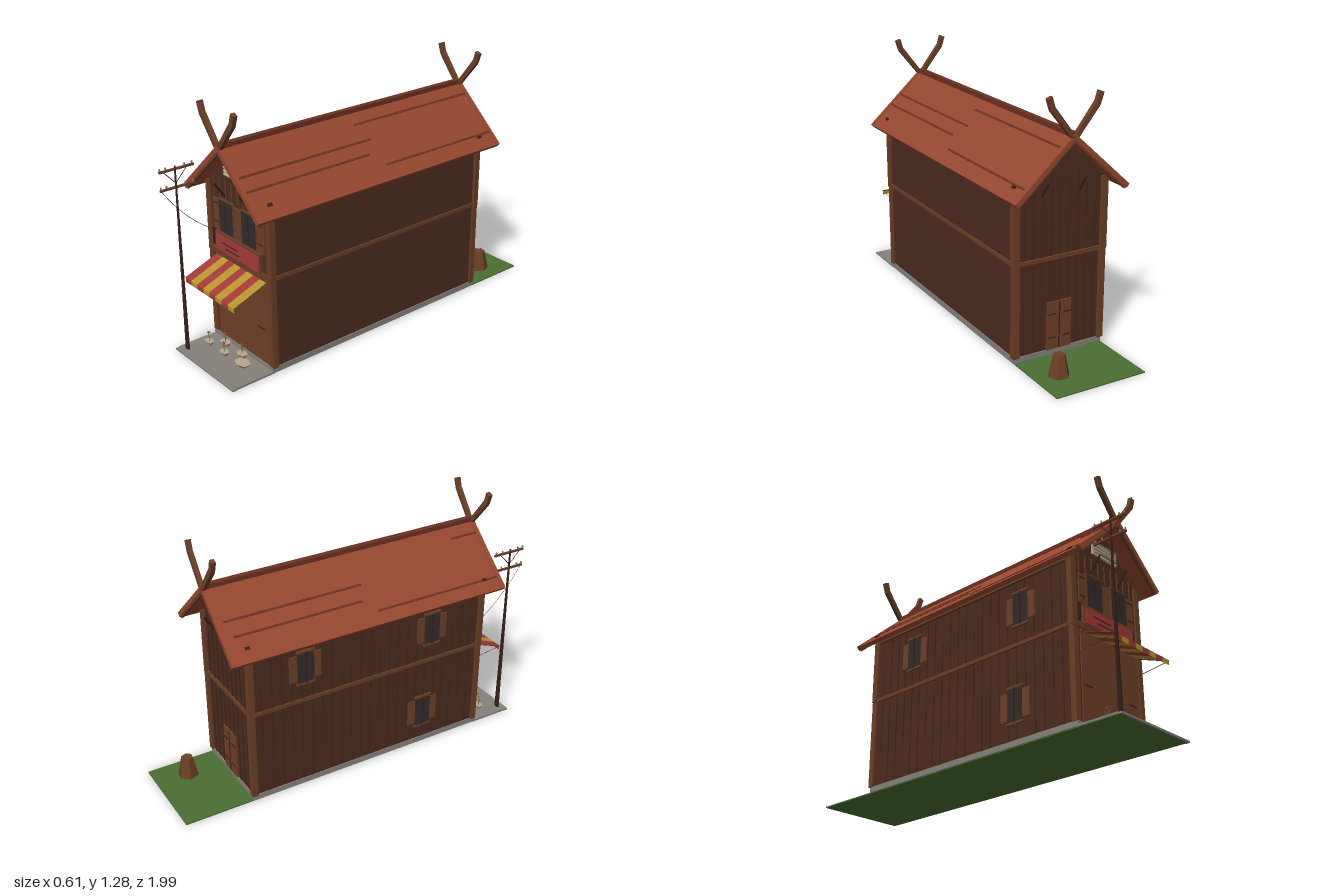
import * as THREE from 'three';

const C = {
  wall: 0x4c2b1f, plank: 0x432519, beam: 0x6b3f26, panel: 0x6e4028, dark: 0x38201a, glass: 0x302c2b,
  roof: 0x96472f, seam: 0x6b3021, red: 0xa33a38, yellow: 0xb8922f, cream: 0xb5a58a,
  stone: 0x85807a, grass: 0x4a6e31, leaf: 0x557a35,
};
const mats = {};
const mat = (color) => (mats[color] ??= new THREE.MeshStandardMaterial({ color, flatShading: true, side: THREE.DoubleSide }));

export function createModel() {
  const root = new THREE.Group();
  const add = (name, geo, color, parent = root) => {
    const m = new THREE.Mesh(geo, mat(color));
    m.name = name;
    parent.add(m);
    return m;
  };
  // Box given by its limits
  const box = (name, x0, x1, y0, y1, z0, z1, color, parent) => {
    const m = add(name, new THREE.BoxGeometry(x1 - x0, y1 - y0, z1 - z0), color, parent);
    m.position.set((x0 + x1) / 2, (y0 + y1) / 2, (z0 + z1) / 2);
    return m;
  };
  // Outline in x,y extruded from z0 to z1
  const prism = (name, pts, z0, z1, color) => {
    const shape = new THREE.Shape(pts.map((p) => new THREE.Vector2(...p)));
    const geo = new THREE.ExtrudeGeometry(shape, { depth: z1 - z0, bevelEnabled: false });
    return add(name, geo.translate(0, 0, z0), color);
  };
  // Square or round bar between two points
  const bar = (name, a, b, r, color, sides = 4) => {
    const p = new THREE.Vector3(...a), q = new THREE.Vector3(...b), d = q.clone().sub(p);
    const m = add(name, new THREE.CylinderGeometry(r, r, d.length(), sides), color);
    m.position.copy(p).add(q).multiplyScalar(0.5);
    m.quaternion.setFromUnitVectors(new THREE.Vector3(0, 1, 0), d.normalize());
    return m;
  };

  // Ground
  box('grass', -0.24, 0.24, 0, 0.006, -1, 0.93, C.grass);
  box('pavement', -0.245, 0.245, 0.002, 0.012, 0.7, 0.92, C.stone);
  box('kerb', -0.245, 0.245, 0, 0.009, 0.92, 0.94, C.stone);
  box('foundation', -0.245, 0.245, 0.004, 0.032, -0.64, 0.71, C.stone);

  // House body with gables
  prism('houseBody', [[-0.24, 0.03], [0.24, 0.03], [0.24, 0.85], [0, 1.07], [-0.24, 0.85]], -0.635, 0.7, C.wall);

  // Corner posts, storey beams and wall plates
  for (const s of [-1, 1]) {
    for (const z of [-0.633, 0.694]) {
      box('lowerPost', s * 0.235 - 0.016, s * 0.235 + 0.016, 0.03, 0.49, z - 0.015, z + 0.015, C.beam);
      box('upperPost', s * 0.238 - 0.017, s * 0.238 + 0.017, 0.49, 0.85, z - 0.015, z + 0.015, C.beam);
    }
    box('sideBeam', s * 0.24 - 0.008, s * 0.24 + 0.008, 0.488, 0.506, -0.645, 0.705, C.beam);
    box('wallPlate', s * 0.245 - 0.01, s * 0.245 + 0.01, 0.822, 0.842, -0.645, 0.705, C.beam);
  }
  box('frontBeam', -0.25, 0.25, 0.485, 0.51, 0.7, 0.712, C.beam);
  box('backBeam', -0.25, 0.25, 0.487, 0.507, -0.645, -0.63, C.beam);

  // Plank battens on the left-hand long wall and both ends
  for (let i = 0; i < 23; i++) {
    const z = -0.58 + i * 0.055;
    const low = i % 3 ? 0.035 : 0.2, high = i % 4 ? 0.82 : 0.66;
    box('sideBatten', -0.243, -0.239, low, high, z, z + 0.006, C.plank);
  }
  for (let i = -4; i <= 4; i++) {
    const x = i * 0.048, top = 1.03 - Math.abs(x) * 0.93;
    box('backBatten', x - 0.003, x + 0.003, 0.035, top - (i % 2 ? 0.06 : 0.01), -0.639, -0.634, C.plank);
    box('frontBatten', x - 0.003, x + 0.003, 0.78, 0.88, 0.699, 0.704, C.beam);
  }

  // Roof slabs with raised seams and pegs
  const pitch = Math.atan2(0.275, 0.3);
  const roofY = (x) => 1.1 - Math.abs(x) * 0.917;
  const seams = [[0.06, -0.72, 0.05], [0.13, 0, 0.78], [0.185, 0.06, 0.78], [0.24, -0.72, 0],
    [-0.06, 0.62, 0.78], [-0.14, -0.7, 0.03], [-0.2, -0.68, 0], [-0.25, 0.06, 0.78]];
  for (const s of [-1, 1]) {
    prism('roofSlab', [[0, 1.1], [s * 0.3, 0.825], [s * 0.286, 0.808], [0, 1.072]], -0.73, 0.79, C.roof);
    for (const z of [-0.64, 0.7]) {
      const peg = box('roofPeg', s * 0.25 - 0.007, s * 0.25 + 0.007, 0.868, 0.878, z - 0.012, z + 0.012, C.dark);
      peg.rotation.z = -s * pitch;
    }
  }
  for (const [x, z0, z1] of seams) {
    const m = box('roofSeam', x - 0.005, x + 0.005, roofY(x) - 0.003, roofY(x) + 0.003, z0, z1, C.seam);
    m.rotation.z = -Math.sign(x) * pitch;
  }
  box('ridgeCap', -0.015, 0.015, 1.088, 1.11, -0.73, 0.79, C.seam);

  // Bargeboards and crossed horns at both gable ends
  for (const [z0, z1] of [[-0.742, -0.72], [0.778, 0.8]]) {
    for (const s of [-1, 1]) {
      prism('bargeboard', [[0, 1.105], [s * 0.304, 0.828], [s * 0.288, 0.81], [0, 1.075]], z0, z1, C.roof);
      prism('gableTrim', [[0, 1.078], [s * 0.288, 0.814], [s * 0.278, 0.808], [0, 1.062]], z0 + 0.004, z1 - 0.004, C.beam);
      prism('horn', [[s * -0.01, 1.085], [s * 0.01, 1.075], [s * 0.128, 1.22], [s * 0.146, 1.275],
        [s * 0.122, 1.285], [s * 0.108, 1.238]], z0, z1, C.beam);
    }
  }
  // Slanted brackets under the gable overhangs
  for (const s of [-1, 1]) {
    bar('frontBracket', [s * 0.1, 0.8, 0.703], [s * 0.1, 0.88, 0.76], 0.006, C.dark);
    bar('backBracket', [s * 0.1, 0.8, -0.638], [s * 0.1, 0.88, -0.69], 0.006, C.dark);
  }

  // Shop front
  box('shopPanel', -0.2, 0.215, 0.033, 0.485, 0.699, 0.706, C.panel);
  for (const x of [-0.16, 0.16]) box('panelRail', x - 0.028, x + 0.028, 0.211, 0.216, 0.705, 0.709, C.dark);
  box('signFrame', -0.182, 0.182, 0.504, 0.604, 0.7, 0.716, C.beam);
  box('signBoard', -0.172, 0.172, 0.513, 0.594, 0.71, 0.721, C.red);
  box('signGroove', -0.12, 0.01, 0.559, 0.564, 0.72, 0.723, C.dark);
  box('signGroove', -0.09, 0.02, 0.535, 0.54, 0.72, 0.723, C.dark);

  // Upper front windows with side shutters
  box('windowSurround', -0.2, 0.205, 0.608, 0.77, 0.7, 0.706, C.panel);
  for (const s of [-1, 1]) {
    const x = s * 0.091;
    box('frontWindowFrame', x - 0.06, x + 0.06, 0.608, 0.782, 0.7, 0.71, C.beam);
    box('frontWindowGlass', x - 0.054, x + 0.054, 0.615, 0.775, 0.705, 0.712, C.glass);
    box('frontMullion', x - 0.003, x + 0.003, 0.64, 0.755, 0.71, 0.715, C.dark);
    for (const y of [0.65, 0.745]) box('shutterHinge', s * 0.178 - 0.018, s * 0.178 + 0.018, y, y + 0.005, 0.705, 0.709, C.dark);
  }

  // Louvred gable vent
  box('ventPanel', -0.09, 0.09, 0.912, 0.985, 0.7, 0.71, C.cream);
  for (let i = 0; i < 4; i++) {
    const m = box('ventSlat', -0.086, 0.086, 0.921 + i * 0.017, 0.925 + i * 0.017, 0.706, 0.718, C.cream);
    m.rotation.x = 0.5;
  }
  box('ventGap', -0.03, 0.08, 0.927, 0.93, 0.709, 0.714, C.dark);
  box('ventGap', -0.08, 0.06, 0.957, 0.959, 0.709, 0.714, C.dark);

  // Striped awning: sloping sheet, hanging edge and end rails
  for (let i = 0; i < 8; i++) {
    const x0 = -0.195 + i * 0.0505, color = i % 2 ? C.yellow : C.red;
    const sheet = add('awningStripe', new THREE.PlaneGeometry(0.0505, Math.hypot(0.185, 0.07)), color);
    sheet.position.set(x0 + 0.02525, 0.437, 0.797);
    sheet.rotation.x = -Math.atan2(0.185, 0.07);
    const edge = add('awningEdge', new THREE.PlaneGeometry(0.0505, 0.025), color);
    edge.position.set(x0 + 0.02525, 0.39, 0.887);
  }
  for (const x of [-0.194, 0.208]) {
    bar('awningRail', [x, 0.468, 0.704], [x, 0.4, 0.888], 0.003, C.beam);
    bar('awningStay', [x, 0.375, 0.704], [x, 0.4, 0.888], 0.002, C.beam);
  }

  // Shuttered windows on the left-hand long wall
  for (const [z, y] of [[-0.34, 0.68], [0.39, 0.68], [0.35, 0.2]]) {
    const w = new THREE.Group();
    w.name = 'sideWindow';
    root.add(w);
    box('windowGlass', -0.25, -0.24, y - 0.085, y + 0.085, z - 0.045, z + 0.045, C.glass, w);
    box('windowMullion', -0.253, -0.24, y - 0.085, y + 0.085, z - 0.004, z + 0.004, C.dark, w);
    for (const s of [-1, 1]) {
      box('shutter', -0.247, -0.24, y - 0.07, y + 0.07, z + s * 0.065 - 0.022, z + s * 0.065 + 0.022, C.panel, w);
      box('windowRail', -0.252, -0.24, y + s * 0.087 - 0.006, y + s * 0.087 + 0.006, z - 0.05, z + 0.05, C.beam, w);
    }
  }

  // Back double door
  for (const s of [-1, 1]) {
    box('backDoorLeaf', s * 0.034 - 0.032, s * 0.034 + 0.032, 0.032, 0.275, -0.645, -0.634, C.panel);
    for (const y of [0.09, 0.21]) box('doorHinge', s * 0.04 - 0.02, s * 0.04 + 0.02, y, y + 0.006, -0.648, -0.64, C.dark);
  }
  box('doorGap', -0.003, 0.003, 0.035, 0.27, -0.648, -0.64, C.dark);

  // Utility pole with cross-arms, struts, insulators and service wire
  const pole = add('utilityPole', new THREE.CylinderGeometry(0.006, 0.016, 0.97, 6), C.dark);
  pole.scale.z = 0.5;
  pole.position.set(-0.2, 0.49, 0.9);
  for (const y of [0.87, 0.96]) {
    box('crossArm', -0.205, -0.195, y - 0.005, y + 0.005, 0.8, 0.985, C.beam);
    for (const z of [0.81, 0.85, 0.95, 0.98]) box('insulator', -0.203, -0.197, y, y + 0.018, z - 0.003, z + 0.003, C.stone);
  }
  for (const s of [-1, 1]) bar('armStrut', [-0.2, 0.89, 0.9], [-0.2, 0.955, 0.9 + s * 0.06], 0.002, C.dark);
  const wire = new THREE.QuadraticBezierCurve3(
    new THREE.Vector3(-0.2, 0.87, 0.98), new THREE.Vector3(-0.2, 0.7, 0.87), new THREE.Vector3(-0.205, 0.6, 0.712));
  add('serviceWire', new THREE.TubeGeometry(wire, 12, 0.0012, 4), C.dark);
  box('wireBracket', -0.21, -0.2, 0.53, 0.61, 0.7, 0.712, C.dark);

  // Shallow bowls and small flowers by the shop front
  for (const [x, z, r] of [[-0.16, 0.8, 0.022], [-0.1, 0.745, 0.025], [-0.03, 0.8, 0.022], [0.04, 0.745, 0.025], [0.11, 0.79, 0.035]]) {
    const bowl = add('bowl', new THREE.CylinderGeometry(r, r * 0.5, 0.022, 6), C.cream);
    bowl.position.set(x, 0.024, z);
    bowl.scale.x = 1.4;
    if (x > 0.1) continue;
    for (let k = -1; k <= 1; k++) {
      const top = [x + k * 0.016, 0.075 + (k + 1) * 0.008, z + 0.006 * k];
      bar('flowerStem', [x, 0.03, z], top, 0.0012, C.leaf);
      const head = add('flowerHead', new THREE.OctahedronGeometry(0.006), k ? C.red : C.leaf);
      head.position.set(...top);
    }
  }

  // Tree stump on the back lawn
  const stump = add('treeStump', new THREE.CylinderGeometry(0.03, 0.054, 0.108, 6), C.beam);
  stump.position.set(0.12, 0.058, -0.83);
  stump.rotation.y = 0.4;
  return root;
}
